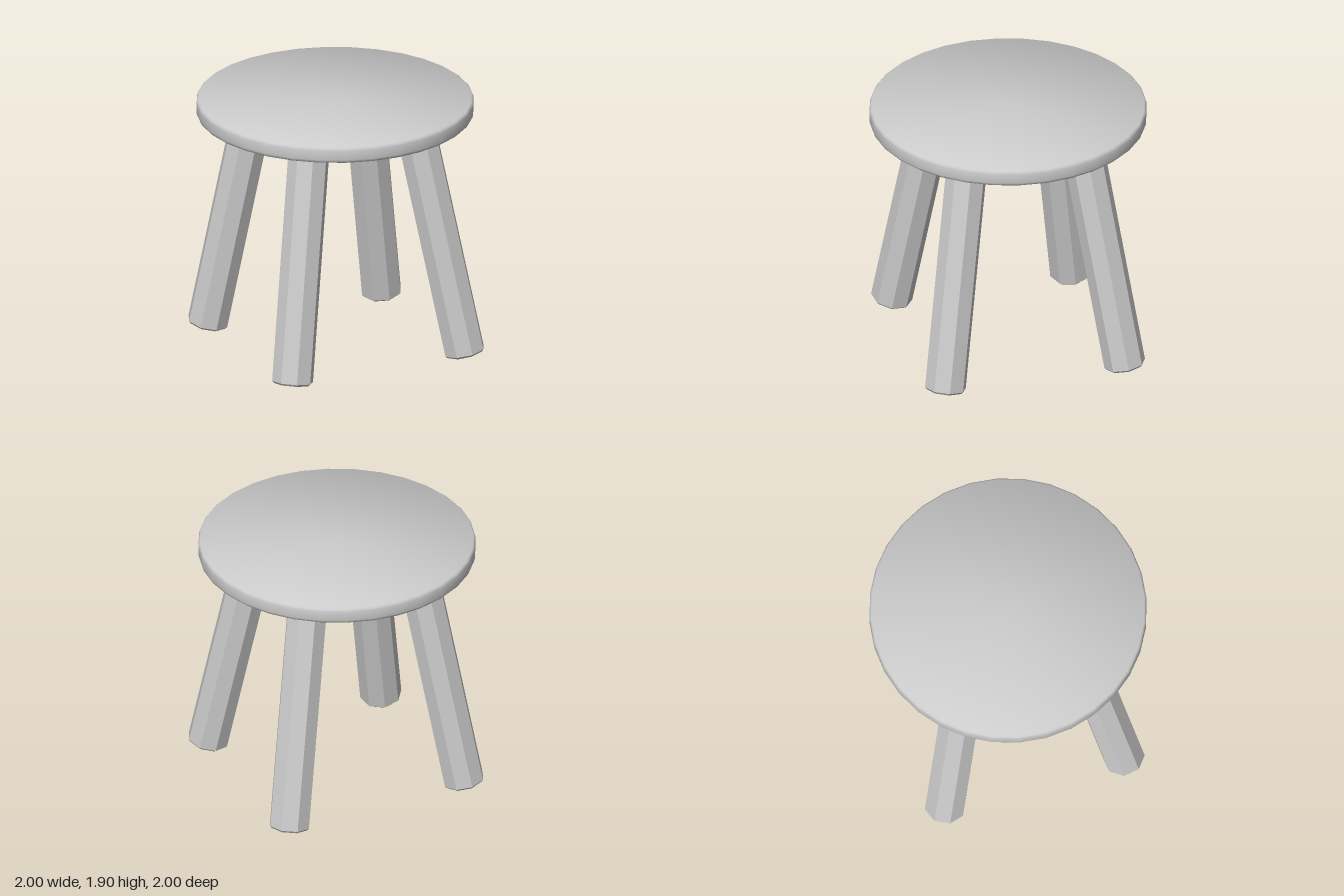
import * as THREE from 'three';
import { toCreasedNormals } from 'three/addons/utils/BufferGeometryUtils.js';

const lathe = (points, sides) =>
  new THREE.LatheGeometry(points.map(([r, y]) => new THREE.Vector2(r, y)), sides);

// Eight-sided leg with small end bevels, running from foot centre to top centre.
function makeLeg(name, foot, top, twist, material) {
  const from = new THREE.Vector3(...foot);
  const axis = new THREE.Vector3(...top).sub(from);
  const length = axis.length();
  const r = 0.151, b = 0.015;
  const geometry = lathe([
    [0, 0], [r - b, 0], [r, b], [r, length - b], [r - b, length], [0, length],
  ], 8);
  geometry.rotateY(THREE.MathUtils.degToRad(twist));
  const leg = new THREE.Mesh(geometry, material);
  leg.name = name;
  leg.position.copy(from);
  leg.quaternion.setFromUnitVectors(new THREE.Vector3(0, 1, 0), axis.normalize());
  return leg;
}

export function createModel() {
  const group = new THREE.Group();
  group.name = 'stool';
  const smooth = new THREE.MeshStandardMaterial({ color: 0xcccccc });
  const flat = new THREE.MeshStandardMaterial({ color: 0xcccccc, flatShading: true });

  // Round seat with a softened rim
  const seat = new THREE.Mesh(toCreasedNormals(lathe([
    [0, 1.785], [0.985, 1.785], [0.996, 1.795], [1, 1.81],
    [1, 1.88], [0.996, 1.895], [0.985, 1.905], [0, 1.905],
  ], 32), 0.9), smooth);
  seat.name = 'seat';
  group.add(seat);

  // Four splayed legs, each with its own slight twist
  const legs = [
    ['frontLeftLeg', [0.705, 0.04, 0.675], [0.42, 1.808, 0.42], -4],
    ['frontRightLeg', [-0.688, 0.05, 0.675], [-0.415, 1.808, 0.415], 30],
    ['backLeftLeg', [0.715, 0.036, -0.67], [0.435, 1.808, -0.42], -4],
    ['backRightLeg', [-0.69, 0.045, -0.67], [-0.42, 1.808, -0.44], -2],
  ];
  for (const [name, foot, top, twist] of legs) group.add(makeLeg(name, foot, top, twist, flat));

  return group;
}
